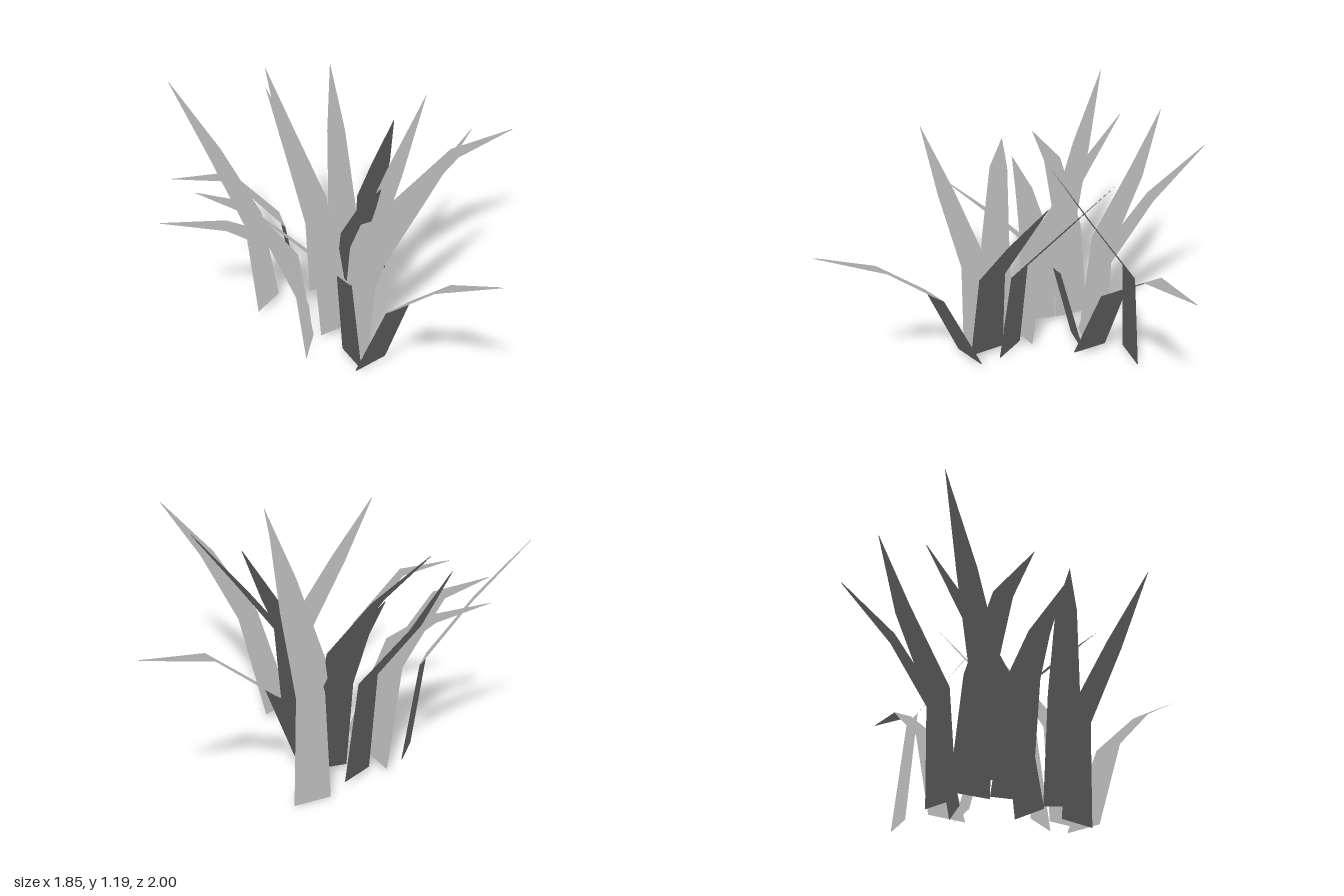
import * as THREE from 'three';

// One row per blade: base x, base z, tip x, tip z,
// base height, then [reach, height] of the middle and upper folds, then tip height
const blades = [
  [-0.415, -0.56, -0.66, -1.00, 0.025, 0.055, 0.53, 0.26, 0.86, 1.19],
  [-0.09, -0.55, -0.15, -0.98, 0.02, 0.04, 0.53, 0.27, 0.845, 1.15],
  [-0.02, -0.425, 0.21, -0.95, 0.03, 0.10, 0.51, 0.314, 0.84, 1.10],
  [-0.22, -0.17, -0.24, -0.79, 0.03, 0.09, 0.52, 0.33, 0.84, 1.14],
  [-0.25, -0.52, -0.82, -0.66, 0.02, 0.07, 0.53, 0.30, 0.82, 0.86],
  [-0.29, -0.33, -0.93, -0.60, 0.04, 0.18, 0.53, 0.38, 0.635, 0.68],
  [-0.40, -0.125, -0.79, -0.44, 0.025, 0.05, 0.53, 0.27, 0.83, 0.89],
  [-0.27, 0.07, -0.77, 0.07, 0.03, 0.03, 0.53, 0.27, 0.82, 1.10],
  [-0.17, -0.06, 0.37, -0.27, 0.02, 0.06, 0.52, 0.32, 0.84, 1.16],
  [-0.22, 0.05, 0.37, 0.11, 0.03, 0.07, 0.52, 0.32, 0.83, 1.15],
  [0.08, -0.39, 0.92, -0.27, 0.04, 0.20, 0.50, 0.51, 0.75, 0.82],
  [-0.215, 0.16, -0.10, 1.00, 0.04, 0.21, 0.51, 0.50, 0.78, 0.99],
  [-0.015, -0.38, -0.22, 0.28, 0.03, 0.13, 0.52, 0.40, 0.82, 1.10],
  [0.205, -0.56, 0.08, -0.10, 0, 0.04, 0.52, 0.25, 0.83, 1.18],
];

const halfWidths = [0.092, 0.071, 0.046];
const thickness = 0.003;

// Underside strip (vertices 0-6), then the upper strip (7-13) wound the other way
const underFaces = [0, 1, 3, 0, 3, 2, 2, 3, 5, 2, 5, 4, 4, 5, 6];
const upperFaces = [...underFaces].reverse().map((v) => v + 7);

// Tapering strip with two folds, ending in a point, with an underside and an upper side
function bladeGeometry([bx, bz, tx, tz, y0, r1, y1, r2, y2, y3]) {
  const heading = new THREE.Vector3(tx - bx, 0, tz - bz).normalize();
  const side = new THREE.Vector3(heading.z, 0, -heading.x);

  const outline = [];
  [[0, y0], [r1, y1], [r2, y2]].forEach(([r, y], i) => {
    for (const s of [-1, 1]) {
      outline.push(new THREE.Vector3(bx, y, bz)
        .addScaledVector(heading, r)
        .addScaledVector(side, s * halfWidths[i]));
    }
  });
  outline.push(new THREE.Vector3(tx, y3, tz));

  // The upper side lies just behind and above the underside
  const lift = new THREE.Vector3(0, 1, 0).sub(heading).setLength(thickness);
  const points = [...outline, ...outline.map((p) => p.clone().add(lift))];

  // Upward normals throughout shade the whole tuft evenly
  const normals = points.flatMap(() => [0, 1, 0]);

  const geometry = new THREE.BufferGeometry().setFromPoints(points);
  geometry.setAttribute('normal', new THREE.Float32BufferAttribute(normals, 3));
  geometry.setIndex([...underFaces, ...upperFaces]);
  return geometry;
}

export function createModel() {
  const group = new THREE.Group();
  group.name = 'grassTuft';
  const material = new THREE.MeshStandardMaterial({ color: 0xa9a9a9, side: THREE.DoubleSide });
  blades.forEach((blade, i) => {
    const mesh = new THREE.Mesh(bladeGeometry(blade), material);
    mesh.name = `grassBlade${i + 1}`;
    group.add(mesh);
  });
  return group;
}
